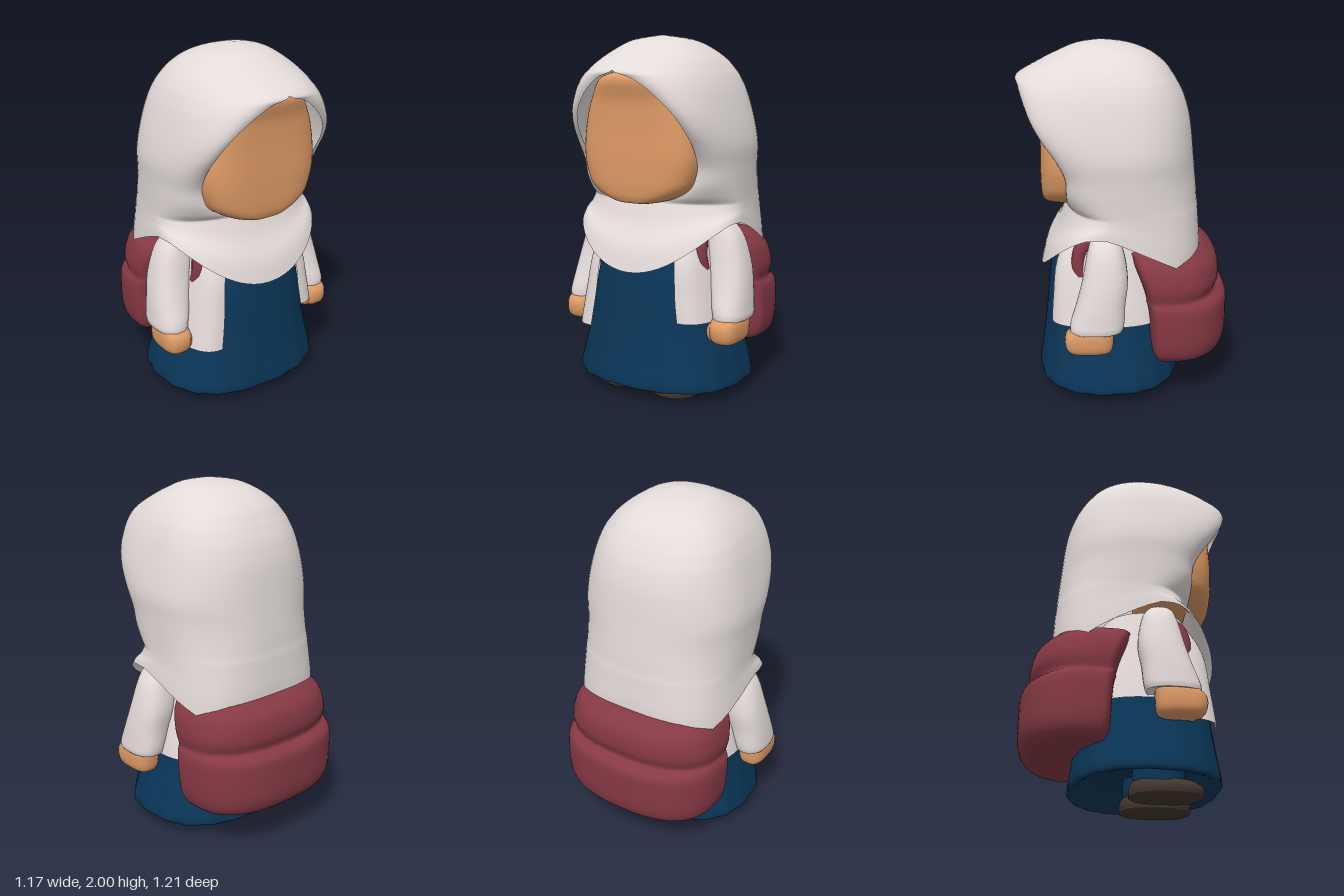
import * as THREE from 'three';
import { mergeVertices } from 'three/addons/utils/BufferGeometryUtils.js';

const paint = (name, color, side = THREE.FrontSide) => {
  const m = new THREE.MeshStandardMaterial({ color, side });
  m.name = name;
  return m;
};

// Smooth interpolation of whole table rows, used between cross-sections
function rowAt(rows, f) {
  const i = Math.min(Math.floor(f), rows.length - 2), t = f - i;
  const at = (k) => rows[Math.max(0, Math.min(rows.length - 1, k))];
  return rows[i].map((b, c) => {
    const a = at(i - 1)[c], d = at(i + 1)[c], e = at(i + 2)[c];
    const m0 = (d - a) / 2, m1 = (e - b) / 2, t2 = t * t, t3 = t2 * t;
    return b * (2 * t3 - 3 * t2 + 1) + m0 * (t3 - 2 * t2 + t) + d * (3 * t2 - 2 * t3) + m1 * (t3 - t2);
  });
}

// Loft of horizontal superellipse sections, listed bottom to top.
// Row: [y, halfWidth, zFront, zBack, frontGap, zSide, extra]
function loft(rows, { cols = 48, steps = 4, front = 2.4, back = 2.4, warp } = {}) {
  const pos = [], index = [], n = (rows.length - 1) * steps;
  for (let i = 0; i <= n; i++) {
    const row = rowAt(rows, i / steps);
    const [y, W0, zf, zb, gap = 0, zs = (zf + zb) / 2, extra = 0] = row;
    const W = Math.max(0, W0), w = Math.max(0, gap);
    for (let j = 0; j <= cols; j++) {
      const t = j / cols, sign = t <= 0.5 ? 1 : -1;
      const h = t <= 0.5 ? 2 * t : 2 - 2 * t, a = h * Math.PI;
      const isFront = h <= 0.5, e = 2 / (isFront ? front : back);
      const s = Math.pow(Math.max(0, Math.sin(a)), e), c = Math.pow(Math.abs(Math.cos(a)), e);
      const x = isFront ? w + (W - w) * s : W * s;
      const p = new THREE.Vector3(sign * x, y, isFront ? zs + (zf - zs) * c : zs + (zb - zs) * c);
      if (warp) warp(p, h, extra, t);
      pos.push(p.x, p.y, p.z);
    }
  }
  const m = cols + 1;
  for (let i = 0; i < n; i++) for (let j = 0; j < cols; j++) {
    const a = i * m + j, b = a + 1, c = a + m, d = c + 1;
    index.push(a, b, c, b, d, c);
  }
  let g = new THREE.BufferGeometry();
  g.setAttribute('position', new THREE.Float32BufferAttribute(pos, 3));
  g.setIndex(index);
  g = mergeVertices(g, 1e-4);
  g.computeVertexNormals();
  return g;
}

export function createModel() {
  const model = new THREE.Group();
  model.name = 'schoolgirl';
  const cloth = paint('white cloth', 0xe4dcda, THREE.DoubleSide);
  const skin = paint('skin', 0xde9a65);
  const navy = paint('navy cloth', 0x0a3658, THREE.DoubleSide);
  const maroon = paint('maroon canvas', 0x863944);
  const brown = paint('brown shoe', 0x43372d);
  const add = (name, geometry, material, x = 0, y = 0, z = 0) => {
    const mesh = new THREE.Mesh(geometry, material);
    mesh.name = name;
    mesh.position.set(x, y, z);
    model.add(mesh);
    return mesh;
  };

  // Head scarf: open face, bib in front, raised hem over the shoulders
  const lerp = THREE.MathUtils.lerp;
  const hem = (h, x) => {
    if (h <= 0.5) return 0.72 + 0.27 * Math.min(1, (x / 0.49) ** 2);
    const s = (h - 0.5) * 2;
    return s < 0.52 ? lerp(0.99, 0.76, s / 0.52) : lerp(0.76, 0.85, (s - 0.52) / 0.48);
  };
  add('headScarf', loft([
    [1.09, 0.50, 0.485, -0.43, 0, 0.12, 1],
    [1.09, 0.495, 0.45, -0.43, 0, 0.10, 0.66],
    [1.09, 0.488, 0.38, -0.425, 0, 0.07, 0.33],
    [1.09, 0.485, 0.335, -0.42, 0, 0.05, 0],
    [1.13, 0.485, 0.33, -0.415, 0.19, 0.05, 0],
    [1.20, 0.487, 0.33, -0.41, 0.31, 0.05, 0],
    [1.30, 0.49, 0.335, -0.40, 0.35, 0.05, 0],
    [1.40, 0.495, 0.385, -0.39, 0.36, 0.05, 0],
    [1.50, 0.48, 0.455, -0.38, 0.345, 0.05, 0],
    [1.60, 0.455, 0.515, -0.365, 0.30, 0.05, 0],
    [1.70, 0.425, 0.56, -0.335, 0.21, 0.05, 0],
    [1.77, 0.395, 0.588, -0.30, 0.11, 0.05, 0],
    [1.81, 0.372, 0.60, -0.275, 0, 0.06, 0],
    [1.87, 0.325, 0.50, -0.23, 0, 0.08, 0],
    [1.93, 0.25, 0.38, -0.15, 0, 0.10, 0],
    [1.975, 0.16, 0.27, -0.03, 0, 0.12, 0],
    [2.00, 0, 0.13, 0.13, 0, 0.13, 0],
  ], {
    cols: 72, front: 2.2, back: 2.35,
    warp: (p, h, k) => {
      if (k > 0.001) p.y = lerp(1.09, hem(h, p.x), Math.min(1, k));
      if (h <= 0.5) return;
      // flared back corners at the hem
      const low = 1 - THREE.MathUtils.smoothstep(p.y, 0.78, 1.3);
      const corner = 1 + 0.09 * low * Math.sin((h - 0.5) * 2 * Math.PI) ** 2;
      p.x *= corner;
      p.z = 0.06 + (p.z - 0.06) * corner;
    },
  }), cloth);

  // Plain face
  add('face', loft([
    [1.095, 0, 0.25, 0.25], [1.095, 0.09, 0.43, 0.1], [1.12, 0.2, 0.465, 0.08],
    [1.18, 0.305, 0.475, 0.05], [1.26, 0.345, 0.477, 0.05], [1.36, 0.363, 0.477, 0.05],
    [1.50, 0.355, 0.472, 0.05], [1.65, 0.31, 0.475, 0.05], [1.78, 0.2, 0.49, 0.1], [1.82, 0, 0.3, 0.3],
  ], { front: 3.6, back: 2.4 }), skin);

  // Long dress with a shallow hollow under the pleated skirt
  add('dress', loft([
    [0.18, 0, 0.1, 0.1], [0.18, 0.32, 0.32, -0.14], [0.11, 0.42, 0.42, -0.24],
    [0.07, 0.475, 0.485, -0.29], [0.09, 0.505, 0.505, -0.315], [0.22, 0.475, 0.488, -0.30],
    [0.40, 0.43, 0.465, -0.28], [0.60, 0.395, 0.445, -0.25], [0.78, 0.35, 0.42, -0.21],
    [0.90, 0.31, 0.36, -0.18], [1.00, 0.27, 0.28, -0.15], [1.08, 0.16, 0.20, -0.05],
  ], {
    cols: 96,
    warp: (p, h, k, t) => {
      const f = 1 + 0.009 * Math.sin(t * Math.PI * 36) * THREE.MathUtils.clamp((0.5 - p.y) / 0.4, 0, 1);
      p.x *= f;
      p.z = 0.1 + (p.z - 0.1) * f;
    },
  }), navy);

  // Open jacket, hanging lower at its right front
  add('jacket', loft([
    [0.46, 0.445, 0.425, -0.295, 0.28, 0.08, 1], [0.60, 0.42, 0.415, -0.27, 0.26, 0.09, 0.5],
    [0.80, 0.375, 0.39, -0.23, 0.24, 0.1, 0], [1.00, 0.33, 0.29, -0.16, 0.16, 0.1, 0],
  ], {
    front: 2.6,
    warp: (p, h, k) => {
      if (p.x < 0 && p.z > 0.1) {
        const s = k * Math.min(1, (p.z - 0.1) / 0.15);
        p.y -= 0.1 * s;
        p.z += 0.015 * s;
        p.x -= 0.012 * s;
      }
    },
  }), cloth);

  // Backpack: upper bag and bulging lower pocket in one wrapped shell
  add('backpack', loft([
    [0.23, 0, -0.3, -0.3, 0, -0.3], [0.23, 0.36, -0.18, -0.47, 0, -0.27],
    [0.25, 0.45, -0.15, -0.555, 0, -0.25], [0.33, 0.49, -0.13, -0.595, 0, -0.24],
    [0.48, 0.50, -0.12, -0.60, 0, -0.23], [0.56, 0.495, -0.11, -0.595, 0, -0.22],
    [0.59, 0.48, -0.10, -0.565, 0, -0.21], [0.61, 0.475, -0.10, -0.53, 0, -0.2],
    [0.68, 0.485, -0.08, -0.55, 0, -0.2], [0.78, 0.465, -0.04, -0.535, 0, -0.18],
    [0.84, 0.42, -0.02, -0.485, 0, -0.17], [0.87, 0.35, -0.02, -0.42, 0, -0.17],
    [0.87, 0, -0.2, -0.2, 0, -0.2],
  ], { cols: 56, front: 5, back: 2.5 }), maroon);

  for (const [side, s] of [['left', 1], ['right', -1]]) {
    // Sleeve leaning outwards to the cuff
    add(side + 'Sleeve', loft([
      [0.50, 0, 0.17, 0.17], [0.475, 0.08, 0.30, 0.05], [0.48, 0.092, 0.32, 0.03],
      [0.53, 0.098, 0.315, 0.02], [0.62, 0.108, 0.285, 0.015], [0.75, 0.113, 0.25, 0.0],
      [0.90, 0.10, 0.22, 0.02], [0.98, 0.06, 0.19, 0.06], [1.0, 0, 0.13, 0.13],
    ], {
      cols: 28,
      warp: (p) => { p.x += s * (0.491 - 0.2 * Math.max(0, p.y - 0.5)); },
    }), cloth);

    // Fist and thumb
    add(side + 'Hand', loft([
      [0.34, 0, 0.21, 0.21], [0.345, 0.055, 0.31, 0.11], [0.38, 0.08, 0.345, 0.085],
      [0.45, 0.083, 0.345, 0.08], [0.50, 0.07, 0.29, 0.08],
    ], { cols: 24, front: 3, back: 3 }), skin, s * 0.49);
    const thumb = add(side + 'Thumb', new THREE.SphereGeometry(1, 16, 12), skin, s * 0.43, 0.405, 0.28);
    thumb.scale.set(0.04, 0.06, 0.05);

    // Shoulder strap, tucked between jacket and sleeve
    const path = [[0.29, 0.98, 0.12], [0.325, 0.91, 0.24], [0.335, 0.81, 0.27], [0.34, 0.73, 0.245], [0.32, 0.65, 0.17]];
    add(side + 'Strap', new THREE.TubeGeometry(new THREE.CatmullRomCurve3(
      path.map(([x, y, z]) => new THREE.Vector3(s * x, y, z))), 28, 0.04, 10), maroon);

    // Leg and shoe
    add(side + 'Leg', new THREE.CylinderGeometry(0.145, 0.14, 0.26, 24), navy, s * 0.17, 0.18, 0.15);
    add(side + 'Shoe', loft([
      [0, 0, 0.19, 0.19], [0, 0.125, 0.365, 0.01], [0.015, 0.145, 0.39, -0.01],
      [0.05, 0.145, 0.385, -0.01], [0.085, 0.11, 0.33, 0.02], [0.095, 0, 0.18, 0.18],
    ], { cols: 28 }), brown, s * 0.175);
  }
  return model;
}
